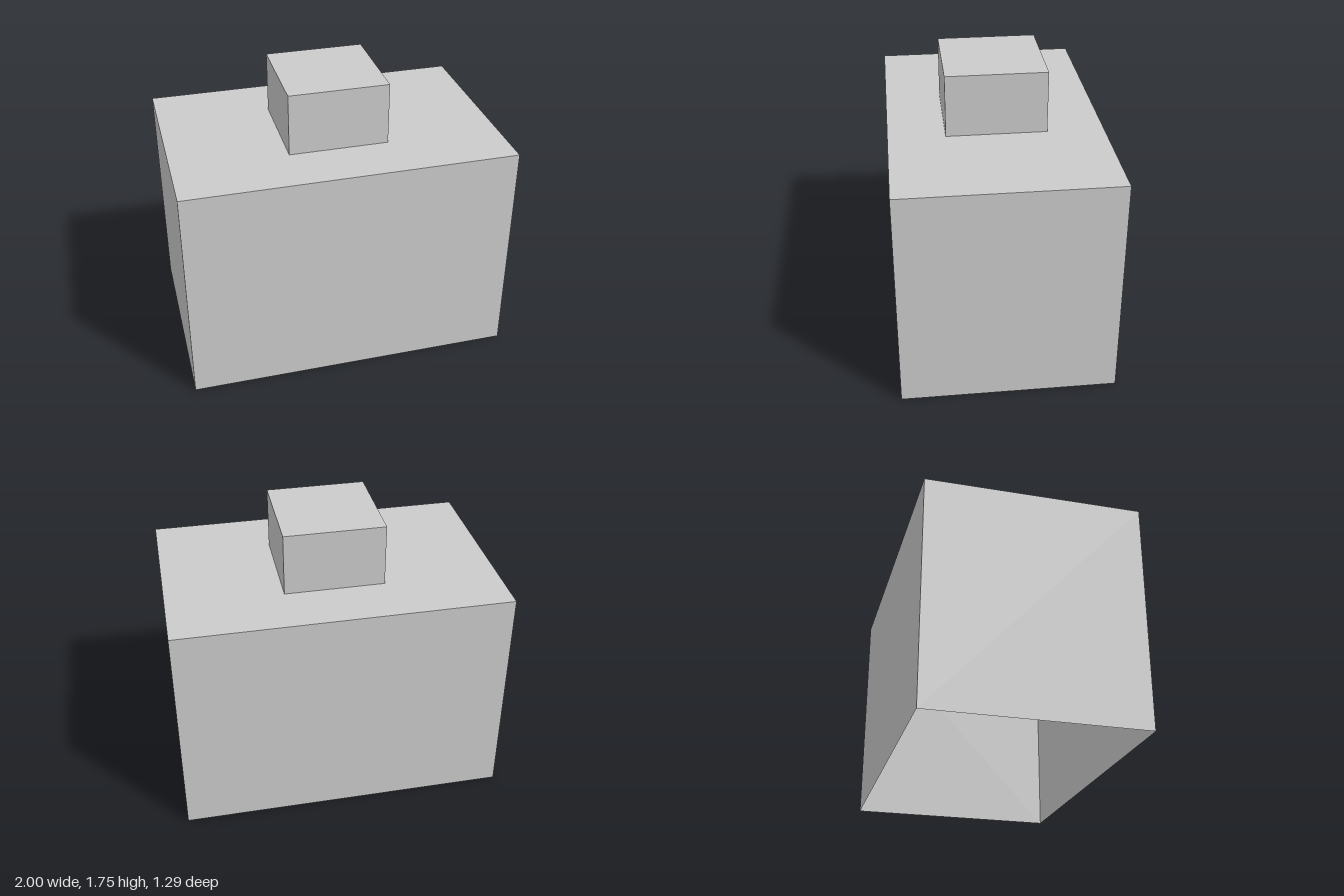
import * as THREE from 'three';

const material = new THREE.MeshStandardMaterial({
  color: 0xcccccc, flatShading: true, side: THREE.DoubleSide,
});

// Thin-walled box with no floor, standing on the given height
function openBox(name, width, height, depth, baseY) {
  const geometry = new THREE.BoxGeometry(width, height, depth);
  const index = Array.from(geometry.index.array);
  index.splice(18, 6); // drop the bottom face
  geometry.setIndex(index);
  geometry.clearGroups();
  geometry.translate(0, baseY + height / 2, 0);
  const mesh = new THREE.Mesh(geometry, material);
  mesh.name = name;
  return mesh;
}

export function createModel() {
  const group = new THREE.Group();
  group.name = 'openBottomBox';
  const bodyHeight = 1.375;
  group.add(openBox('body', 2, bodyHeight, 1.29, 0));
  group.add(openBox('topBlock', 0.605, 0.38, 0.605, bodyHeight));
  return group;
}
